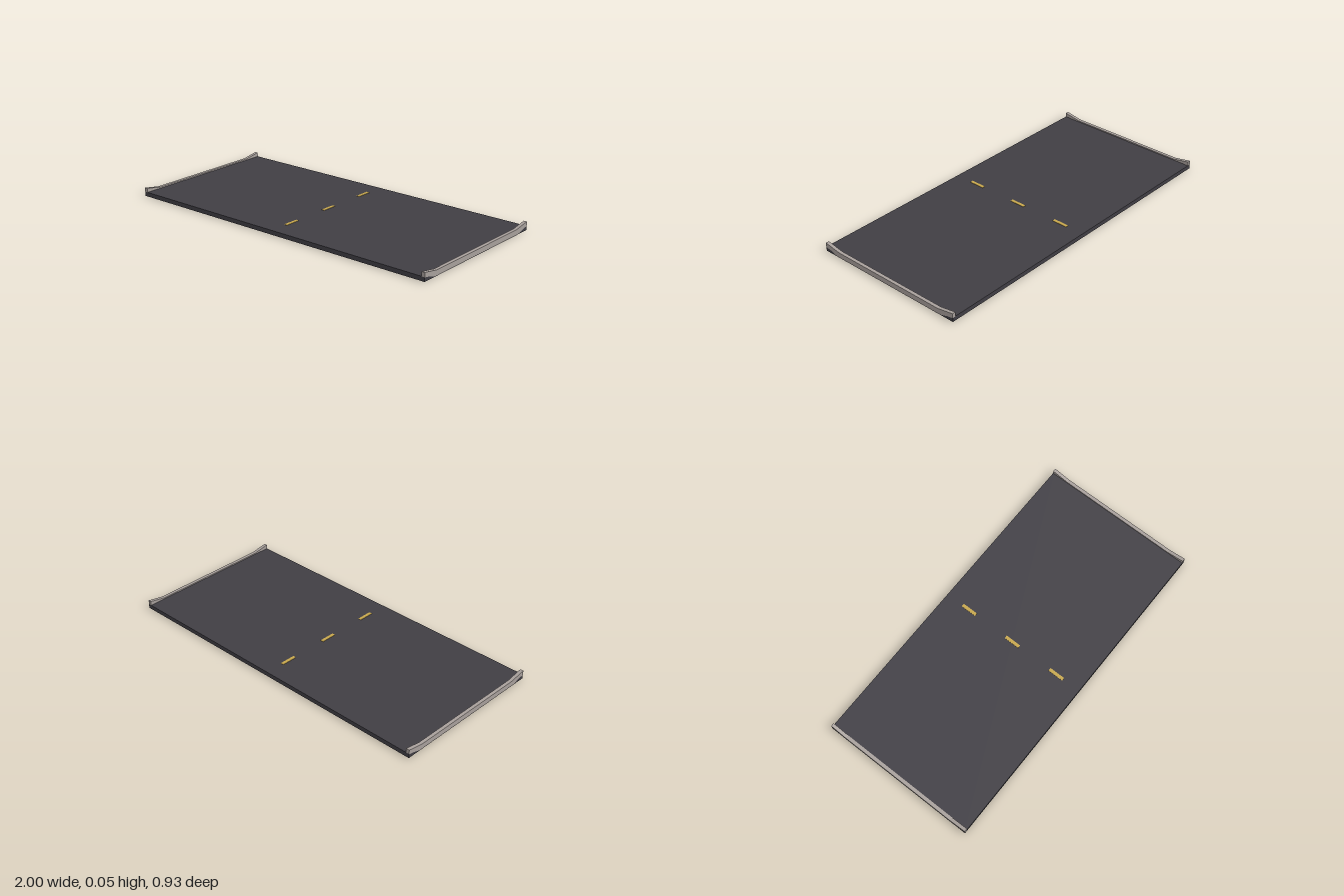
import * as THREE from 'three';

const mat = (name, color) => {
  const m = new THREE.MeshStandardMaterial({ color });
  m.name = name;
  return m;
};

export function createModel() {
  const asphalt = mat('asphalt', 0x403e44);
  const concrete = mat('concrete', 0xa8a09c);
  const paint = mat('yellowPaint', 0xc6a64c);

  const group = new THREE.Group();
  group.name = 'roadSegment';
  const add = (name, geometry, material, x, y, z) => {
    const mesh = new THREE.Mesh(geometry, material);
    mesh.name = name;
    mesh.position.set(x, y, z);
    group.add(mesh);
  };

  const halfZ = 0.467, top = 0.025;

  // Road slab
  add('roadSlab', new THREE.BoxGeometry(1.998, top, halfZ * 2), asphalt, 0, top / 2, 0);

  // Kerbs: low along the middle, bent upwards at both ends
  const profile = new THREE.Shape([
    [-halfZ, 0.024], [-0.43, 0.017], [-0.385, 0.003], [0.385, 0.003], [0.43, 0.017], [halfZ, 0.024],
    [halfZ, 0.05], [0.365, 0.032], [-0.365, 0.032], [-halfZ, 0.05],
  ].map(([z, y]) => new THREE.Vector2(z, y)));
  const kerb = new THREE.ExtrudeGeometry(profile, { depth: 0.02, bevelEnabled: false });
  kerb.translate(0, 0, -0.01).rotateY(Math.PI / 2);
  add('leftKerb', kerb, concrete, 0.99, 0, 0);
  add('rightKerb', kerb, concrete, -0.99, 0, 0);

  // Dashed centre line
  const dash = new THREE.BoxGeometry(0.019, 0.003, 0.095);
  for (const z of [-0.31, 0, 0.31]) add('centreDash', dash, paint, 0, top + 0.0005, z);

  return group;
}
